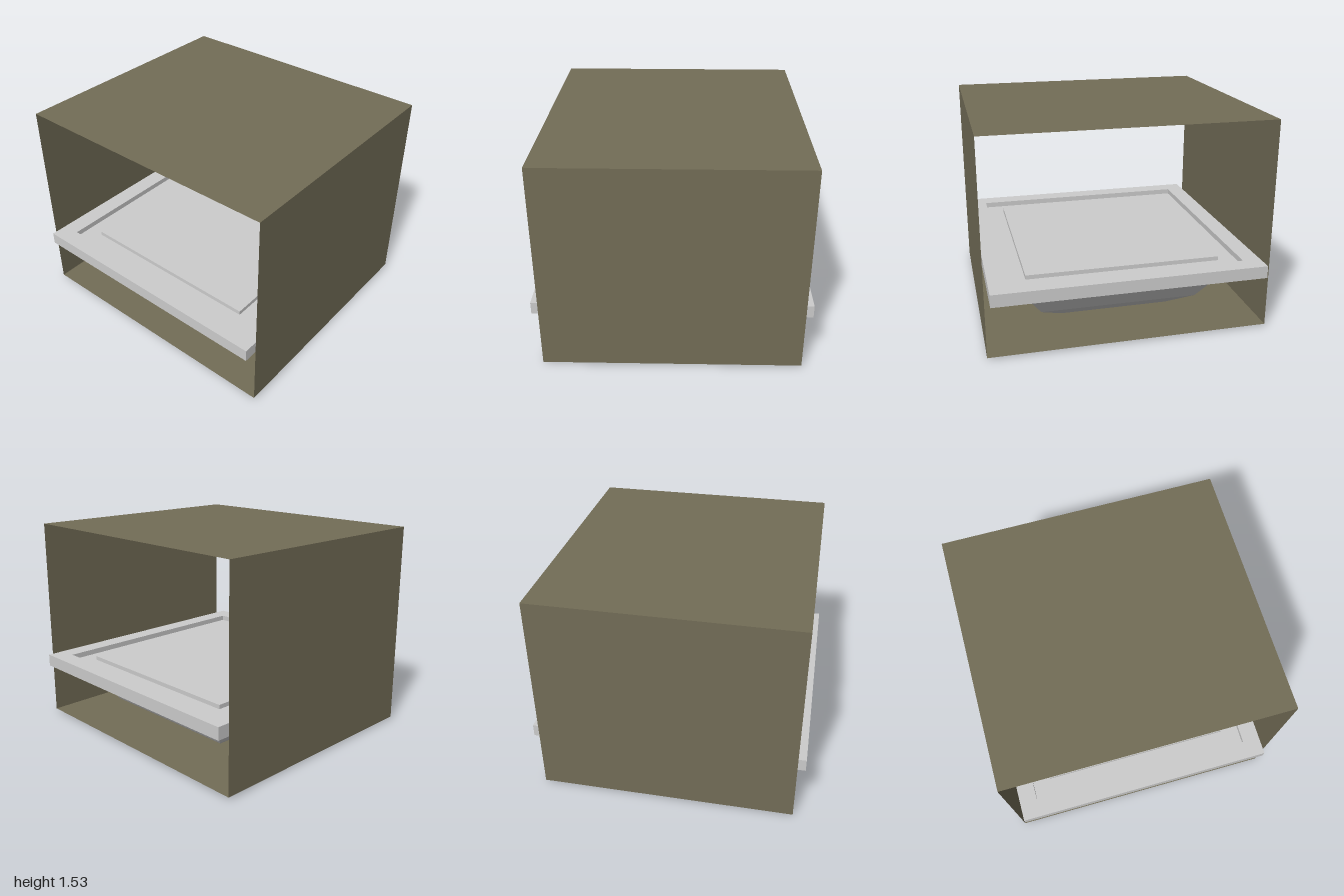
import * as THREE from 'three';

const olive = new THREE.MeshStandardMaterial({ color: 0x736d57, side: THREE.DoubleSide });
olive.name = 'olive sleeve';
const grey = new THREE.MeshStandardMaterial({ color: 0xcccccc });
grey.name = 'light grey';

// Square turned form: profile of [half width, height], bottom to top along the outside
function squareTurned(name, profile) {
  const points = profile.map(([half, y]) => new THREE.Vector2(half * Math.SQRT2, y));
  const geometry = new THREE.LatheGeometry(points, 4, Math.PI / 4).toNonIndexed();
  geometry.computeVertexNormals();
  const mesh = new THREE.Mesh(geometry, grey);
  mesh.name = name;
  return mesh;
}

// One thin wall of the sleeve
function wall(name, height, y, z, tilt) {
  const mesh = new THREE.Mesh(new THREE.PlaneGeometry(1.82, height), olive);
  mesh.name = name;
  mesh.position.set(0, y, z);
  mesh.rotation.x = tilt;
  return mesh;
}

export function createModel() {
  const model = new THREE.Group();
  model.name = 'sleevedTray';

  // Thin sleeve, open on the left and right
  const low = 0.015, high = 1.53, middle = (low + high) / 2;
  const sleeve = new THREE.Group();
  sleeve.name = 'sleeve';
  sleeve.add(
    wall('sleeveFront', high - low, middle, 1, 0),
    wall('sleeveBack', high - low, middle, -1, Math.PI),
    wall('sleeveTop', 2, high, 0, -Math.PI / 2),
    wall('sleeveBottom', 2, low, 0, Math.PI / 2)
  );

  // Tapered bowl, grooved rim and raised centre panel
  const tray = new THREE.Group();
  tray.name = 'tray';
  tray.add(
    squareTurned('bowl', [[0, 0], [0.385, 0], [0.58, 0.135], [0.655, 0.25], [0.69, 0.41]]),
    squareTurned('rim', [[0.69, 0.41], [0.965, 0.41], [0.965, 0.5], [0.834, 0.5], [0.834, 0.46], [0.7, 0.46]]),
    squareTurned('centrePanel', [[0.7, 0.46], [0.7, 0.49], [0, 0.49]])
  );

  model.add(sleeve, tray);
  return model;
}
